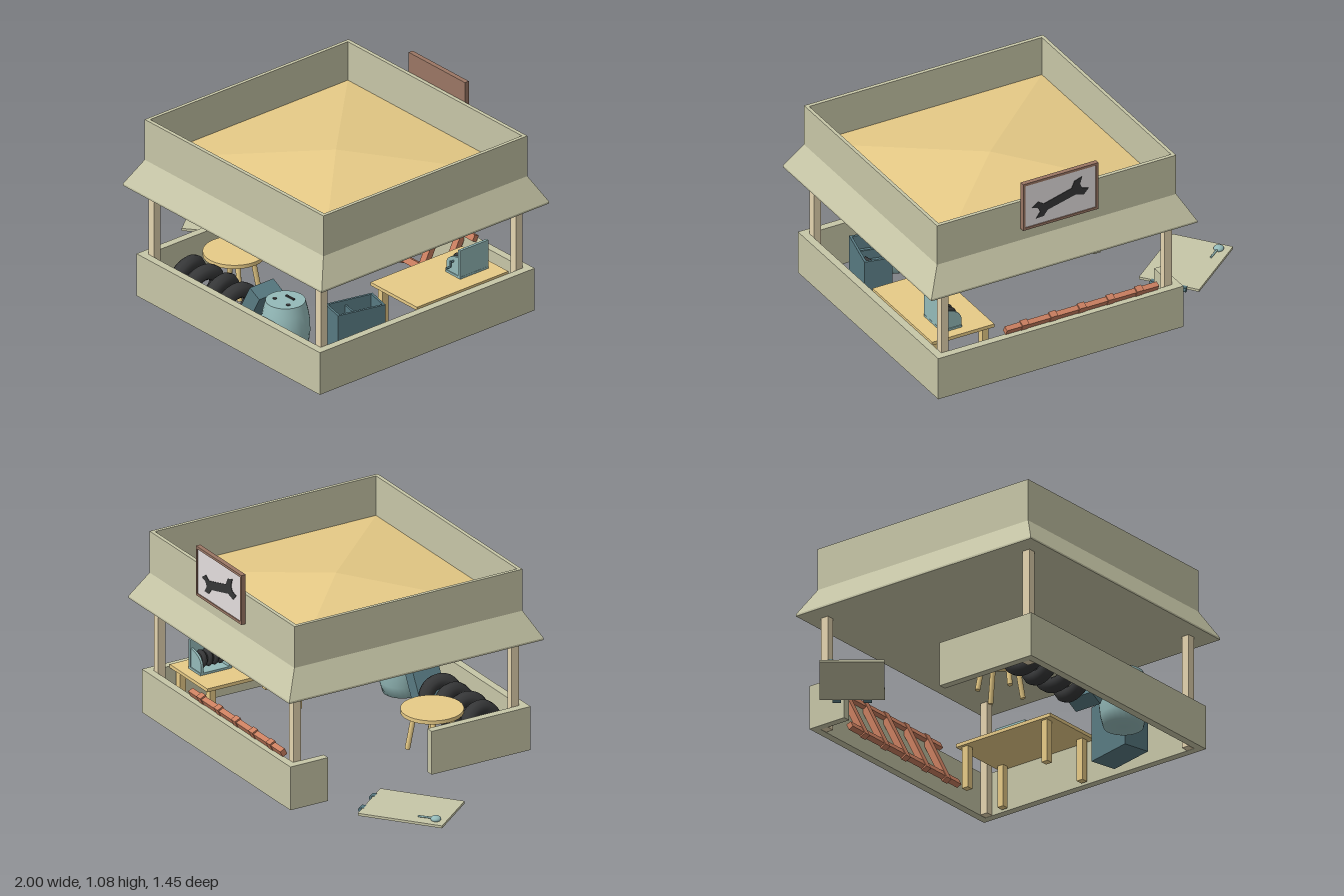
import * as THREE from 'three';

const mat = (name, color) => {
  const m = new THREE.MeshStandardMaterial({ color });
  m.name = name;
  return m;
};

export function createModel() {
  const olive = mat('olive paint', 0xc7c6a7), wood = mat('golden wood', 0xe7cb87);
  const pale = mat('pale wood', 0xe5d5b0), teal = mat('light teal', 0x94bab9);
  const dark = mat('dark teal', 0x587a82), black = mat('black rubber', 0x363738);
  const clay = mat('terracotta', 0xca7f60), brown = mat('sign brown', 0x9a7664);
  const panel = mat('sign grey', 0xe4dede);
  const model = new THREE.Group();

  const group = (name, x = 0, y = 0, z = 0, parent = model) => {
    const g = new THREE.Group();
    g.name = name;
    g.position.set(x, y, z);
    parent.add(g);
    return g;
  };
  const add = (parent, name, geo, m, x = 0, y = 0, z = 0) => {
    const o = new THREE.Mesh(geo, m);
    o.name = name;
    o.position.set(x, y, z);
    parent.add(o);
    return o;
  };
  const box = (p, name, m, w, h, d, x, y, z) => add(p, name, new THREE.BoxGeometry(w, h, d), m, x, y, z);
  // box given by its limits
  const span = (p, name, m, x0, x1, y0, y1, z0, z1) =>
    box(p, name, m, x1 - x0, y1 - y0, z1 - z0, (x0 + x1) / 2, (y0 + y1) / 2, (z0 + z1) / 2);
  // round bar between two points
  const bar = (p, name, m, a, b, r, sides = 10) => {
    const A = new THREE.Vector3(...a), B = new THREE.Vector3(...b);
    const o = add(p, name, new THREE.CylinderGeometry(r, r, A.distanceTo(B), sides), m);
    o.position.copy(A).lerp(B, 0.5);
    o.quaternion.setFromUnitVectors(new THREE.Vector3(0, 1, 0), B.sub(A).normalize());
    return o;
  };
  // rectangular rings [halfX, halfZ, y] joined by flat faces
  const rings = (list) => {
    const pos = [], corners = [[1, 1], [1, -1], [-1, -1], [-1, 1]];
    const pt = (r, k) => [r[0] * corners[k % 4][0], r[2], r[1] * corners[k % 4][1]];
    for (let i = 0; i < list.length - 1; i++)
      for (let k = 0; k < 4; k++) {
        const a = pt(list[i], k), b = pt(list[i], k + 1);
        const c = pt(list[i + 1], k + 1), d = pt(list[i + 1], k);
        if (list[i][0] > 0) pos.push(...a, ...b, ...c);
        if (list[i + 1][0] > 0) pos.push(...a, ...c, ...d);
      }
    const g = new THREE.BufferGeometry();
    g.setAttribute('position', new THREE.Float32BufferAttribute(pos, 3));
    g.computeVertexNormals();
    return g;
  };

  // low walls with a doorway on one side
  const walls = group('lowWalls', 0.004, 0, 0);
  span(walls, 'frontWall', olive, -0.435, 0.935, 0.01, 0.24, 0.645, 0.685);
  span(walls, 'backWall', olive, -0.435, 0.935, 0.01, 0.24, -0.685, -0.645);
  span(walls, 'sideWall', olive, 0.895, 0.935, 0.01, 0.24, -0.645, 0.645);
  span(walls, 'doorwayWallFront', olive, -0.435, -0.395, 0.01, 0.24, 0.12, 0.645);
  span(walls, 'doorwayWallBack', olive, -0.435, -0.395, 0.01, 0.24, -0.645, -0.47);
  for (const x of [-0.375, 0.873])
    for (const z of [-0.622, 0.622]) span(walls, 'post', pale, x - 0.02, x + 0.02, 0.01, 0.62, z - 0.021, z + 0.021);

  // roof: flared skirt, parapet and shallow pyramid deck
  const roof = group('roof', 0.257, 0, 0);
  add(roof, 'parapetAndSkirt', rings([[0, 0, 0.605], [0.743, 0.725, 0.605], [0.743, 0.725, 0.615],
    [0.668, 0.65, 0.75], [0.668, 0.65, 0.97], [0.65, 0.63, 0.97], [0.65, 0.63, 0.75]]), olive);
  add(roof, 'roofDeck', rings([[0.65, 0.63, 0.76], [0, 0, 0.85]]), wood);

  // sign on the back parapet, turned to face backwards
  const sign = group('sign', 0.248, 0.945, -0.659);
  sign.rotation.y = Math.PI;
  box(sign, 'signBoard', brown, 0.42, 0.262, 0.018, 0, 0, 0);
  for (const s of [-1, 1]) {
    box(sign, 'frameSide', brown, 0.013, 0.262, 0.01, s * 0.2035, 0, 0.011);
    box(sign, 'frameEdge', brown, 0.42, 0.013, 0.01, 0, s * 0.1245, 0.011);
  }
  box(sign, 'signPanel', panel, 0.394, 0.236, 0.004, 0, 0, 0.009);
  const spanner = new THREE.Shape();
  [[-0.09, 0.022], [0.07, 0.02], [0.095, 0.05], [0.14, 0.052], [0.118, 0.018], [0.122, -0.01], [0.155, -0.03],
    [0.12, -0.052], [0.08, -0.026], [-0.08, -0.022], [-0.11, -0.044], [-0.15, -0.034], [-0.12, -0.01],
    [-0.125, 0.016], [-0.155, 0.036], [-0.115, 0.05]].forEach(([x, y], i) => i ? spanner.lineTo(x, y) : spanner.moveTo(x, y));
  const symbolGeo = new THREE.ExtrudeGeometry(spanner, { depth: 0.003, bevelEnabled: false });
  add(sign, 'spannerSymbol', symbolGeo, black, 0, -0.01, 0.011).rotation.z = 0.27;

  // door lying on the ground
  const door = group('fallenDoor', -0.733, 0, -0.183);
  door.rotation.y = 0.664;
  box(door, 'doorPanel', olive, 0.436, 0.013, 0.316, 0, 0.0175, 0);
  const knob = add(door, 'doorKnob', new THREE.SphereGeometry(0.026, 16, 10), teal, -0.166, 0.032, -0.104);
  knob.scale.y = 0.6;
  bar(door, 'doorLever', teal, [-0.166, 0.034, -0.104], [-0.075, 0.03, -0.1], 0.005);
  for (const z of [-0.075, 0.075]) {
    bar(door, 'hingePin', dark, [0.228, 0.013, z - 0.02], [0.228, 0.013, z + 0.02], 0.012);
    box(door, 'hingePlate', dark, 0.022, 0.004, 0.036, 0.222, 0.023, z);
  }

  // round stool with splayed legs
  const stool = group('stool', -0.167, 0, 0.286);
  add(stool, 'stoolTop', new THREE.CylinderGeometry(0.155, 0.155, 0.02, 28), wood, 0, 0.216, 0);
  for (let i = 0; i < 4; i++) {
    const c = Math.cos(i * Math.PI / 2 + 0.5), s = Math.sin(i * Math.PI / 2 + 0.5);
    bar(stool, 'stoolLeg', wood, [0.12 * c, 0.012, 0.12 * s], [0.085 * c, 0.21, 0.085 * s], 0.013);
  }

  // row of leaning tyres
  const tyres = group('tyres');
  for (let i = 0; i < 4; i++) {
    const t = group('tyre', -0.26 + 0.125 * i, 0.126, 0.51, tyres);
    t.rotation.z = -0.25 + 0.06 * (i % 2);
    t.rotation.y = 0.12 * (i % 2 ? -1 : 1);
    add(t, 'tyreRing', new THREE.TorusGeometry(0.079, 0.039, 10, 24), black).rotation.y = Math.PI / 2;
  }

  // bulging barrel with lid fittings
  const barrel = group('barrel', 0.495, 0, 0.525);
  const profile = [[0, 0.012], [0.098, 0.012], [0.113, 0.07], [0.121, 0.14], [0.119, 0.2], [0.11, 0.25], [0.098, 0.298]];
  add(barrel, 'barrelBody', new THREE.LatheGeometry(profile.map(p => new THREE.Vector2(...p)), 24), teal);
  add(barrel, 'barrelLid', new THREE.CylinderGeometry(0.098, 0.098, 0.006, 24), teal, 0, 0.297, 0);
  box(barrel, 'lidHandle', black, 0.06, 0.007, 0.01, 0, 0.303, -0.03);
  for (const [x, z] of [[-0.045, 0.03], [0.05, 0.025]])
    add(barrel, 'lidCap', new THREE.CylinderGeometry(0.011, 0.011, 0.004, 10), black, x, 0.301, z);

  // tilted canister resting against the barrel
  box(model, 'canister', dark, 0.08, 0.28, 0.15, 0.268, 0.166, 0.51).rotation.z = -0.49;

  // open tool crate
  const crate = group('toolCrate', 0.752, 0, 0.3);
  crate.rotation.y = -0.23;
  for (const s of [-1, 1]) {
    box(crate, 'crateSide', dark, 0.012, 0.288, 0.26, s * 0.065, 0.157, 0);
    box(crate, 'crateEnd', dark, 0.142, 0.288, 0.012, 0, 0.157, s * 0.124);
  }
  box(crate, 'crateFloor', dark, 0.13, 0.01, 0.25, 0, 0.018, 0);
  box(crate, 'crateTray', dark, 0.13, 0.008, 0.25, 0, 0.22, 0);
  box(crate, 'crateDivider', dark, 0.12, 0.05, 0.01, 0, 0.25, 0.02);
  bar(crate, 'crateTool', black, [-0.03, 0.235, -0.1], [0.03, 0.24, 0.0], 0.01);

  // workbench against the side wall
  const bench = group('workbench');
  span(bench, 'benchTop', wood, 0.55, 0.897, 0.233, 0.251, -0.553, 0.03);
  for (const x of [0.585, 0.862])
    for (const z of [-0.51, -0.02]) box(bench, 'benchLeg', wood, 0.036, 0.225, 0.036, x, 0.125, z);

  // hand winch on the bench
  const winch = group('winch', 0.755, 0.25, -0.41);
  box(winch, 'winchBase', teal, 0.11, 0.012, 0.18, 0, 0.006, 0);
  box(winch, 'winchPlate', teal, 0.014, 0.156, 0.18, 0.047, 0.078, 0);
  const cheek = new THREE.Shape();
  cheek.moveTo(-0.055, 0);
  cheek.lineTo(0.045, 0);
  cheek.lineTo(0.045, 0.11);
  cheek.quadraticCurveTo(-0.045, 0.105, -0.055, 0.05);
  cheek.closePath();
  for (const z of [-0.085, 0.073])
    add(winch, 'winchCheek', new THREE.ExtrudeGeometry(cheek, { depth: 0.012, bevelEnabled: false }), teal, 0, 0, z);
  bar(winch, 'winchDrum', black, [0, 0.064, -0.075], [0, 0.064, 0.075], 0.028, 16);
  for (let i = 0; i < 4; i++)
    add(winch, 'cableCoil', new THREE.TorusGeometry(0.032, 0.013, 8, 18), black, 0, 0.064, -0.05 + i * 0.033);
  bar(winch, 'crankAxle', dark, [0, 0.078, 0.08], [0, 0.078, 0.108], 0.005);
  bar(winch, 'crankArm', dark, [0, 0.085, 0.106], [0, 0.05, 0.106], 0.005);
  bar(winch, 'crankGrip', dark, [0, 0.053, 0.104], [0, 0.053, 0.132], 0.006);

  // ladder on its side, leaning on the back wall
  const ladder = group('ladder', 0.118, 0.031, -0.533);
  ladder.rotation.x = -0.46;
  for (const y of [0, 0.255]) box(ladder, 'ladderRail', clay, 0.85, 0.034, 0.028, 0, y, 0);
  for (let i = 0; i < 5; i++) box(ladder, 'ladderRung', clay, 0.038, 0.306, 0.034, -0.318 + 0.16 * i, 0.1275, 0);

  return model;
}
